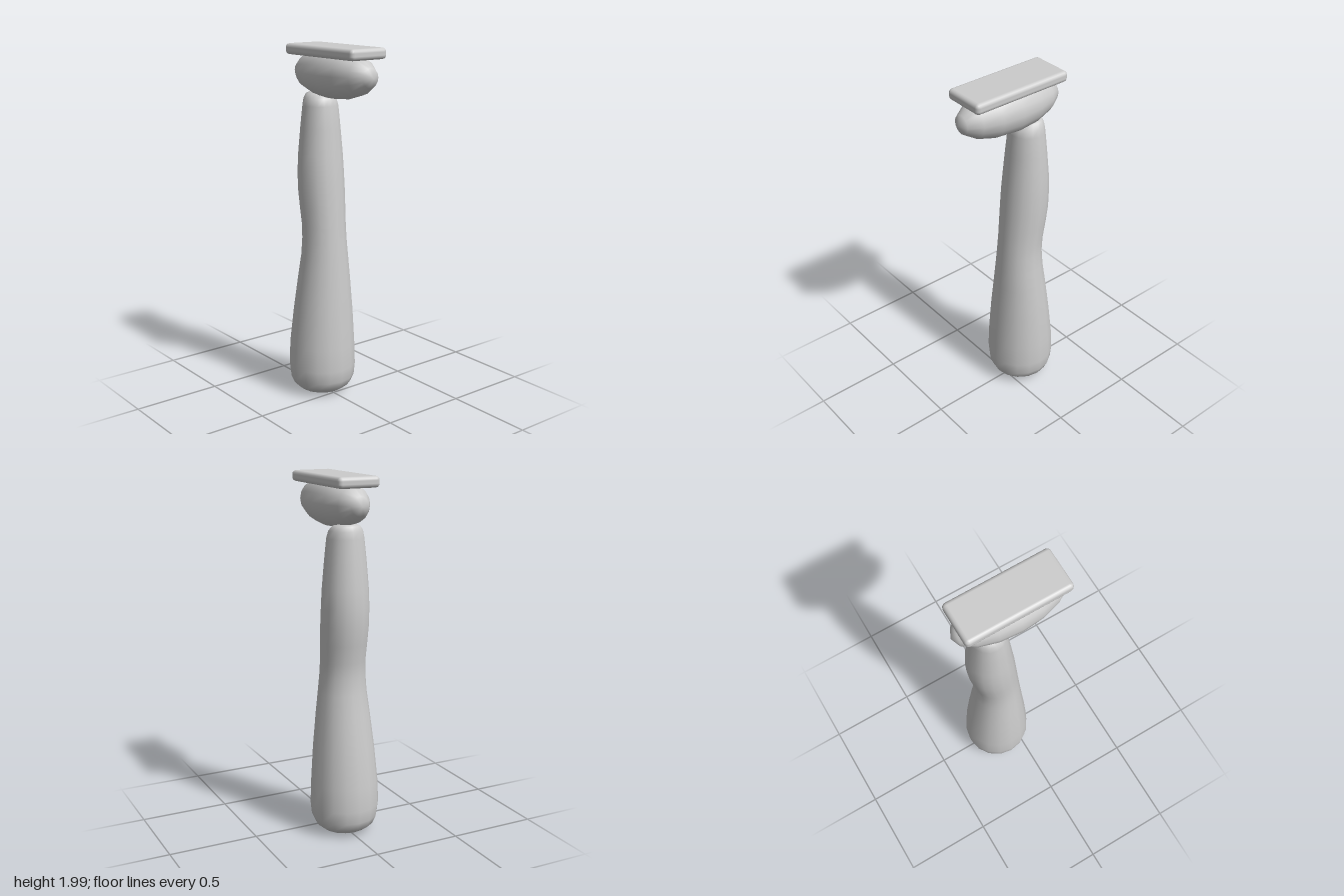
import * as THREE from 'three';
import { RoundedBoxGeometry } from 'three/addons/geometries/RoundedBoxGeometry.js';

// Smooth closed skin through elliptical rings: [y, xMin, xMax, zBack, zFront]
function loft(rings, sides) {
  const pos = [], index = [];
  for (const [y, x0, x1, z0, z1] of rings) {
    for (let i = 0; i < sides; i++) {
      const a = (i / sides) * Math.PI * 2;
      pos.push((x0 + x1) / 2 + Math.sin(a) * (x1 - x0) / 2, y, (z0 + z1) / 2 + Math.cos(a) * (z1 - z0) / 2);
    }
  }
  for (let r = 0; r < rings.length - 1; r++) {
    for (let i = 0; i < sides; i++) {
      const j = (i + 1) % sides, a = r * sides + i, b = r * sides + j;
      index.push(a, b, b + sides, a, b + sides, a + sides);
    }
  }
  // Close both ends with a fan around a centre point
  const last = rings.length - 1;
  for (const [r, dy] of [[0, -0.003], [last, 0.004]]) {
    const [y, x0, x1, z0, z1] = rings[r], c = pos.length / 3;
    pos.push((x0 + x1) / 2, y + dy, (z0 + z1) / 2);
    for (let i = 0; i < sides; i++) {
      const a = r * sides + i, b = r * sides + (i + 1) % sides;
      if (r === 0) index.push(c, b, a); else index.push(c, a, b);
    }
  }
  const geo = new THREE.BufferGeometry();
  geo.setAttribute('position', new THREE.Float32BufferAttribute(pos, 3));
  geo.setIndex(index);
  geo.computeVertexNormals();
  return geo;
}

export function createModel() {
  const group = new THREE.Group();
  const grey = new THREE.MeshStandardMaterial({ color: 0xcccccc });
  grey.name = 'plain grey';

  const add = (name, geometry, x = 0, y = 0, z = 0) => {
    const mesh = new THREE.Mesh(geometry, grey);
    mesh.name = name;
    mesh.position.set(x, y, z);
    group.add(mesh);
    return mesh;
  };

  // Handle: heavy rounded foot, finger dip at the back, leaning backwards
  add('handle', loft([
    [0.010, -0.08, 0.08, -0.19, -0.03],
    [0.025, -0.13, 0.13, -0.235, 0.02],
    [0.055, -0.165, 0.165, -0.275, 0.058],
    [0.10, -0.185, 0.185, -0.293, 0.078],
    [0.17, -0.193, 0.192, -0.30, 0.085],
    [0.30, -0.188, 0.188, -0.293, 0.08],
    [0.50, -0.17, 0.175, -0.268, 0.067],
    [0.70, -0.146, 0.156, -0.24, 0.051],
    [0.82, -0.13, 0.142, -0.222, 0.042],
    [0.92, -0.122, 0.133, -0.216, 0.034],
    [1.00, -0.119, 0.131, -0.222, 0.028],
    [1.10, -0.122, 0.135, -0.239, 0.021],
    [1.20, -0.125, 0.139, -0.253, 0.013],
    [1.30, -0.124, 0.138, -0.256, 0.005],
    [1.40, -0.119, 0.135, -0.252, -0.005],
    [1.55, -0.106, 0.123, -0.238, -0.02],
    [1.67, -0.093, 0.111, -0.226, -0.032],
    [1.71, -0.084, 0.102, -0.221, -0.045],
    [1.735, -0.065, 0.085, -0.209, -0.075],
    [1.745, -0.04, 0.06, -0.19, -0.10],
  ], 16));

  // Egg-shaped head, its poles at the front and back
  const egg = new THREE.SphereGeometry(1, 16, 8);
  egg.rotateX(Math.PI / 2);
  egg.scale(0.135, 0.135, 0.32);
  add('head', egg, 0.011, 1.85, -0.002);

  // Flat plate on top
  add('topPlate', new RoundedBoxGeometry(0.24, 0.06, 0.585, 2, 0.022), 0.012, 1.97, -0.007);

  return group;
}
